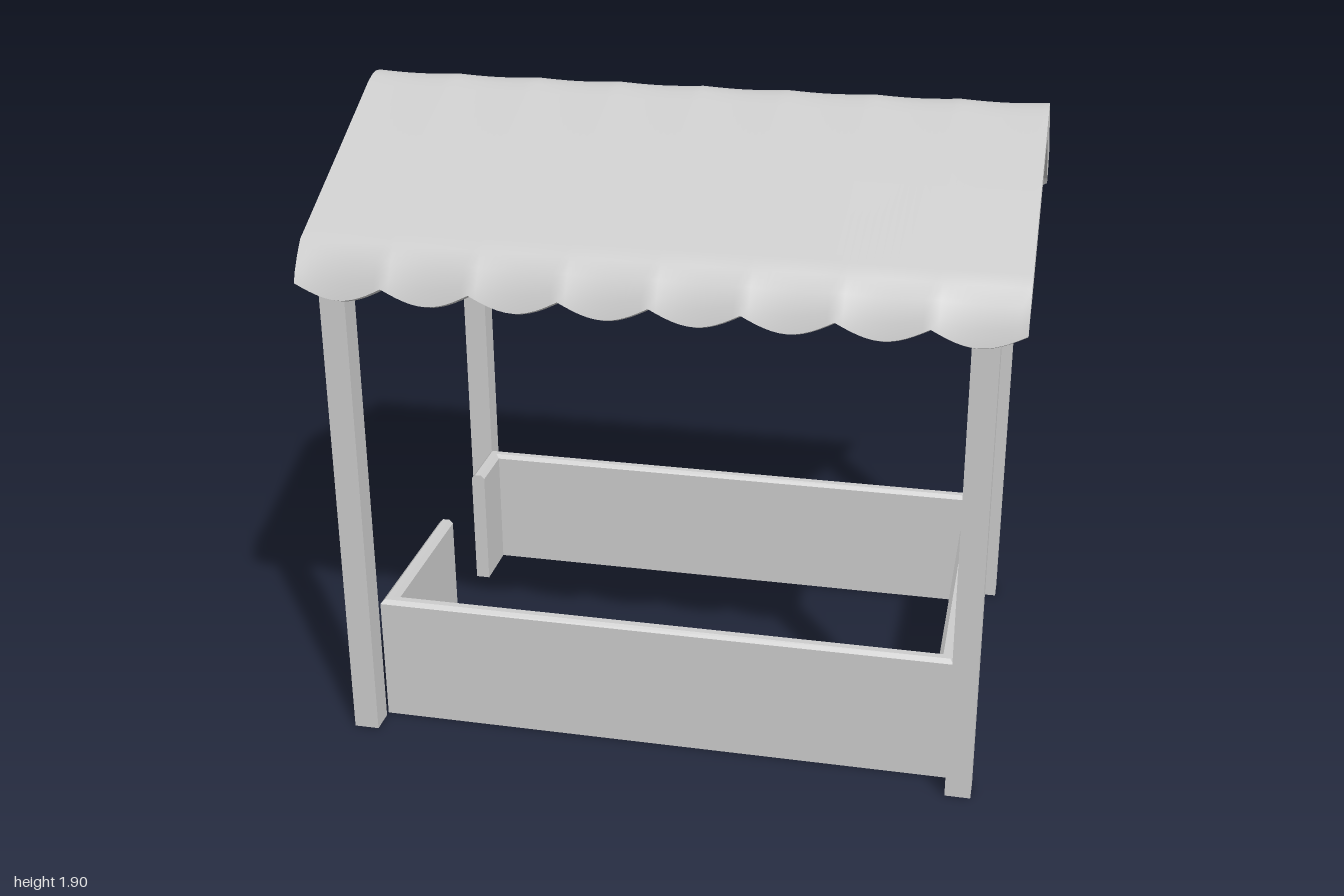
import * as THREE from 'three';
import { toCreasedNormals } from 'three/addons/utils/BufferGeometryUtils.js';

const material = new THREE.MeshStandardMaterial({ color: 0xcccccc });

// Frame and planter box limits
const X0 = -0.96, X1 = 0.93, POST = 0.075;
const BOX = { x0: X0 + POST, x1: X1 - POST, z: 0.555, h: 0.4, t: 0.045 };

function add(parent, name, geometry) {
  const mesh = new THREE.Mesh(geometry, material);
  mesh.name = name;
  parent.add(mesh);
  return mesh;
}

// Box given by its min and max corners
function block(parent, name, [ax, ay, az], [bx, by, bz]) {
  const mesh = add(parent, name, new THREE.BoxGeometry(bx - ax, by - ay, bz - az));
  mesh.position.set((ax + bx) / 2, (ay + by) / 2, (az + bz) / 2);
  return mesh;
}

// Low wall running along local z, outer face at local x = 0, inside towards -x;
// mitred ends shorten with depth so that corners meet cleanly
function panel(parent, name, length, mitreStart, mitreEnd) {
  const { h, t } = BOX, c = 0.012;
  const s = new THREE.Shape();
  s.moveTo(0, 0).lineTo(0, h - c).lineTo(-c, h).lineTo(c - t, h).lineTo(-t, h - c).lineTo(-t, 0);
  const g = new THREE.ExtrudeGeometry(s, { depth: length, bevelEnabled: false });
  const p = g.attributes.position;
  for (let i = 0; i < p.count; i++) {
    const z = p.getZ(i), depth = -p.getX(i);
    if (z < length / 2 && mitreStart) p.setZ(i, z + depth);
    if (z > length / 2 && mitreEnd) p.setZ(i, z - depth);
  }
  g.computeVertexNormals();
  return add(parent, name, g);
}

// Scalloped roof sheet: a closed cross-section swept along x
function roofGeometry() {
  // [z, y, scallop sag, ridge bump] from eave to ridge
  const outer = [[0.713, 1.475, 1, 0], [0.7, 1.505, 0.6, 0], [0.675, 1.545, 0.2, 0], [0.645, 1.582, 0, 0],
    [0.6, 1.605, 0, 0], [0.33, 1.745, 0, 0], [0.075, 1.877, 0, 0.3], [0.035, 1.891, 0, 0.8], [0, 1.895, 0, 1]];
  const inner = [[0.69, 1.465, 1, 0], [0.682, 1.478, 0.6, 0], [0.665, 1.495, 0.2, 0], [0.64, 1.507, 0, 0],
    [0.57, 1.518, 0, 0], [0.33, 1.645, 0, 0], [0.075, 1.78, 0, 0], [0.035, 1.795, 0, 0], [0, 1.8, 0, 0]];
  const full = half => [...half, ...half.slice(0, -1).reverse().map(([z, ...r]) => [-z, ...r])];
  const ring = [...full(outer), ...full(inner).reverse()];
  const m = ring.length, columns = 96, positions = [], index = [];
  const quad = (a, b, c, d) => index.push(a, b, c, a, c, d);
  for (let i = 0; i <= columns; i++) {
    const x = -1 + 2 * i / columns;
    const wave = Math.abs(Math.sin(Math.PI * x / 0.25));
    for (const [z, y, sag, bump] of ring) {
      positions.push(x, y - 0.042 * sag * wave + 0.006 * bump * (1 - wave), z);
    }
  }
  for (let i = 0; i < columns; i++) {
    for (let j = 0; j < m; j++) {
      const k = (j + 1) % m;
      quad(i * m + j, (i + 1) * m + j, (i + 1) * m + k, i * m + k);
    }
  }
  // Gable end caps
  const last = columns * m;
  for (let k = 0; k < m / 2 - 1; k++) {
    quad(last + k, last + m - 1 - k, last + m - 2 - k, last + k + 1);
    quad(k, k + 1, m - 2 - k, m - 1 - k);
  }
  const g = new THREE.BufferGeometry();
  g.setAttribute('position', new THREE.Float32BufferAttribute(positions, 3));
  g.setIndex(index);
  return toCreasedNormals(g, 0.6);
}

// Sloping rafter from ridge beam to post, extruded along x
function rafterGeometry(side) {
  const s = new THREE.Shape();
  s.moveTo(0.05, 1.745).lineTo(0.57, 1.47).lineTo(0.6, 1.47).lineTo(0.6, 1.525).lineTo(0.05, 1.805);
  const g = new THREE.ExtrudeGeometry(s, { depth: POST, bevelEnabled: false });
  g.rotateY(-Math.PI / 2);
  g.translate(POST, 0, 0);
  if (side < 0) {
    g.rotateY(Math.PI);
    g.translate(POST, 0, 0);
  }
  return g;
}

export function createModel() {
  const model = new THREE.Group();
  model.name = 'shelter';

  // Posts and rafters
  const frame = new THREE.Group();
  frame.name = 'frame';
  model.add(frame);
  for (const x of [X0, X1 - POST]) {
    for (const side of [1, -1]) {
      const z = side > 0 ? 0.57 : -0.645;
      block(frame, 'post', [x, 0, z], [x + POST, 1.515, z + POST]);
      add(frame, 'rafter', rafterGeometry(side)).position.x = x;
    }
  }

  // Eave rails and ridge beam
  for (const z of [0.57, -0.645]) {
    block(frame, 'eaveRail', [BOX.x0, 1.465, z], [BOX.x1, 1.52, z + POST]);
  }
  block(frame, 'ridgeBeam', [X0, 1.74, -0.06], [X1, 1.798, 0.06]);

  // Low walls, with a doorway on the right side
  const walls = new THREE.Group();
  walls.name = 'walls';
  model.add(walls);
  const length = BOX.x1 - BOX.x0;
  const front = panel(walls, 'frontWall', length, true, true);
  front.rotation.y = -Math.PI / 2;
  front.position.set(BOX.x1, 0, BOX.z);
  const back = panel(walls, 'backWall', length, true, true);
  back.rotation.y = Math.PI / 2;
  back.position.set(BOX.x0, 0, -BOX.z);
  panel(walls, 'leftWall', 2 * BOX.z, true, true).position.set(BOX.x1, 0, -BOX.z);
  const rightFront = panel(walls, 'rightFrontWall', BOX.z, true, false);
  rightFront.rotation.y = Math.PI;
  rightFront.position.set(BOX.x0, 0, BOX.z);
  const rightBack = panel(walls, 'rightBackWall', 0.215, false, true);
  rightBack.rotation.y = Math.PI;
  rightBack.position.set(BOX.x0, 0, -0.34);

  add(model, 'roof', roofGeometry());
  return model;
}
